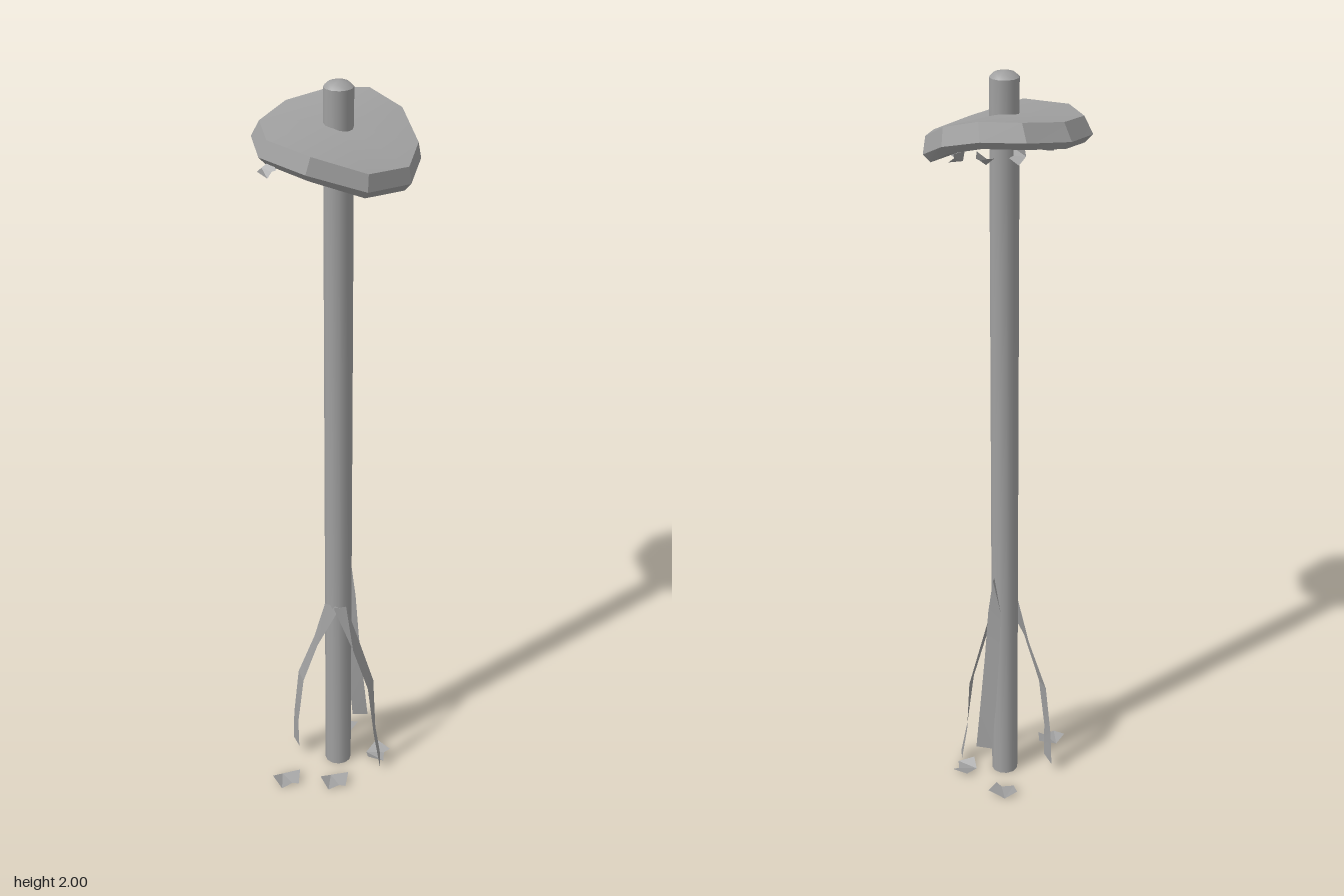
import * as THREE from 'three';
import { toCreasedNormals } from 'three/addons/utils/BufferGeometryUtils.js';

const grey = new THREE.MeshStandardMaterial({ color: 0xa0a0a0 });
grey.name = 'weathered grey';
const greyThin = grey;
greyThin.side = THREE.DoubleSide;

function addMesh(parent, name, geometry) {
  const mesh = new THREE.Mesh(geometry, grey);
  mesh.name = name;
  parent.add(mesh);
  return mesh;
}

// Joins equal-length rows of points into a skin; closed wraps each row round
function skin(rows, closed, crease) {
  const n = rows[0].length;
  const index = [];
  for (let r = 0; r < rows.length - 1; r++) {
    for (let i = 0; i < (closed ? n : n - 1); i++) {
      const j = (i + 1) % n;
      const a = r * n + i, b = r * n + j, c = a + n, d = b + n;
      index.push(a, c, b, b, c, d);
    }
  }
  const g = new THREE.BufferGeometry();
  g.setAttribute('position', new THREE.Float32BufferAttribute(rows.flat(2), 3));
  g.setIndex(index);
  g.computeVertexNormals();
  return toCreasedNormals(g, crease);
}

// Warped cap: [outer x, outer z, upper rim height], clockwise seen from above
const rim = [
  [-0.018, -0.192, 1.925], [0.087, -0.178, 1.928], [0.165, -0.108, 1.9],
  [0.197, 0, 1.85], [0.163, 0.116, 1.832], [0.058, 0.188, 1.842],
  [-0.082, 0.177, 1.882], [-0.185, 0.08, 1.89], [-0.2, -0.048, 1.895],
  [-0.13, -0.148, 1.91],
];
const underside = (x, z) => 1.835 - 0.13 * x - 0.16 * z;

function capGeometry() {
  const ring = (scale, drop, sx, sz) => rim.map(([x, z, y]) => [x * scale + sx, y - drop, z * scale + sz]);
  const hub = (y) => rim.map(() => [0, y, 0]);
  return skin([
    hub(1.845),
    ring(0.91, 0.062, 0, 0),
    ring(1, 0.042, 0, 0),
    ring(0.93, 0, 0.006, 0.008),
    hub(1.9),
  ], true, 0.42);
}

// A ragged, slightly curled chip lying in the xz plane
function flakeGeometry(w, d, curl) {
  return skin([
    [[-0.5 * w, curl, -0.2 * d], [-0.1 * w, 0, -0.5 * d], [0.5 * w, curl, -0.3 * d]],
    [[-0.3 * w, 0, 0.5 * d], [0.1 * w, 0.002, 0.3 * d], [0.3 * w, curl * 0.5, 0.5 * d]],
  ], false, 0.2);
}

export function createModel() {
  const model = new THREE.Group();
  model.name = 'cappedPole';

  // Pole with a shallow domed end
  const profile = [[0, 0], [0.036, 0], [0.036, 1.985], [0.025, 1.995], [0, 2]]
    .map(([r, y]) => new THREE.Vector2(r, y));
  addMesh(model, 'pole', toCreasedNormals(new THREE.LatheGeometry(profile, 12), 0.7)).position.x = 0.003;

  addMesh(model, 'cap', capGeometry());

  // Peeling strips: both edges at each height, top to bottom
  const strips = {
    leftStrip: [
      [[-0.012, 0.55, 0.042], [0.022, 0.55, 0.036]],
      [[0.04, 0.42, 0.062], [0.06, 0.42, 0.025]],
      [[0.082, 0.28, 0.054], [0.1, 0.28, 0.015]],
      [[0.1, 0.12, 0.062], [0.107, 0.12, 0.022]],
      [[0.118, 0.01, 0.073], [0.122, 0.02, 0.025]],
    ],
    rightStrip: [
      [[0.005, 0.55, 0.041], [-0.034, 0.55, 0.018]],
      [[-0.055, 0.42, 0.03], [-0.062, 0.42, -0.012]],
      [[-0.094, 0.28, 0.005], [-0.106, 0.28, -0.038]],
      [[-0.11, 0.13, 0], [-0.12, 0.13, -0.042]],
      [[-0.108, 0.035, -0.008], [-0.122, 0.03, -0.054]],
    ],
    backStrip: [
      [[0.034, 0.64, -0.022], [0.04, 0.64, -0.034]],
      [[0.02, 0.54, -0.04], [0.052, 0.54, -0.028]],
      [[0.025, 0.4, -0.044], [0.062, 0.4, -0.03]],
      [[0.035, 0.25, -0.05], [0.076, 0.25, -0.036]],
      [[0.048, 0.105, -0.055], [0.09, 0.11, -0.045]],
    ],
  };
  for (const [name, rows] of Object.entries(strips)) addMesh(model, name, skin(rows, false, 0.15));

  // Fallen flakes around the foot: x, z, turn
  const fallen = [[-0.145, 0.1, 0.2], [-0.012, 0.115, 0.1], [0.025, -0.12, -0.3], [0.115, 0.0, 1.1]];
  fallen.forEach(([x, z, turn], i) => {
    const flake = addMesh(model, 'fallenFlake' + (i + 1), flakeGeometry(0.08, 0.06, 0.014));
    flake.position.set(x, 0.003, z);
    flake.rotation.y = turn;
  });

  // Flakes hanging below the cap: x, z, turn, tilt
  const hanging = [
    [-0.165, 0.092, 0.6, 0.4], [-0.11, 0.06, 1.8, -0.6], [-0.12, -0.03, 0.3, 0.7],
    [-0.09, -0.1, 2.4, 0.6], [-0.01, -0.125, 1.1, -0.7], [0.07, -0.11, 0.2, 0.6],
    [0.12, -0.04, 2.0, 0.5], [0.11, 0.06, 0.9, -0.4], [0.03, 0.11, 1.5, 0.4],
    [-0.05, 0.1, 2.7, -0.5],
  ];
  hanging.forEach(([x, z, turn, tilt], i) => {
    const flake = addMesh(model, 'hangingFlake' + (i + 1), flakeGeometry(0.045, 0.035, 0.012));
    flake.position.set(x, underside(x, z) - 0.022, z);
    flake.rotation.set(tilt, turn, tilt * 0.6);
  });

  return model;
}
